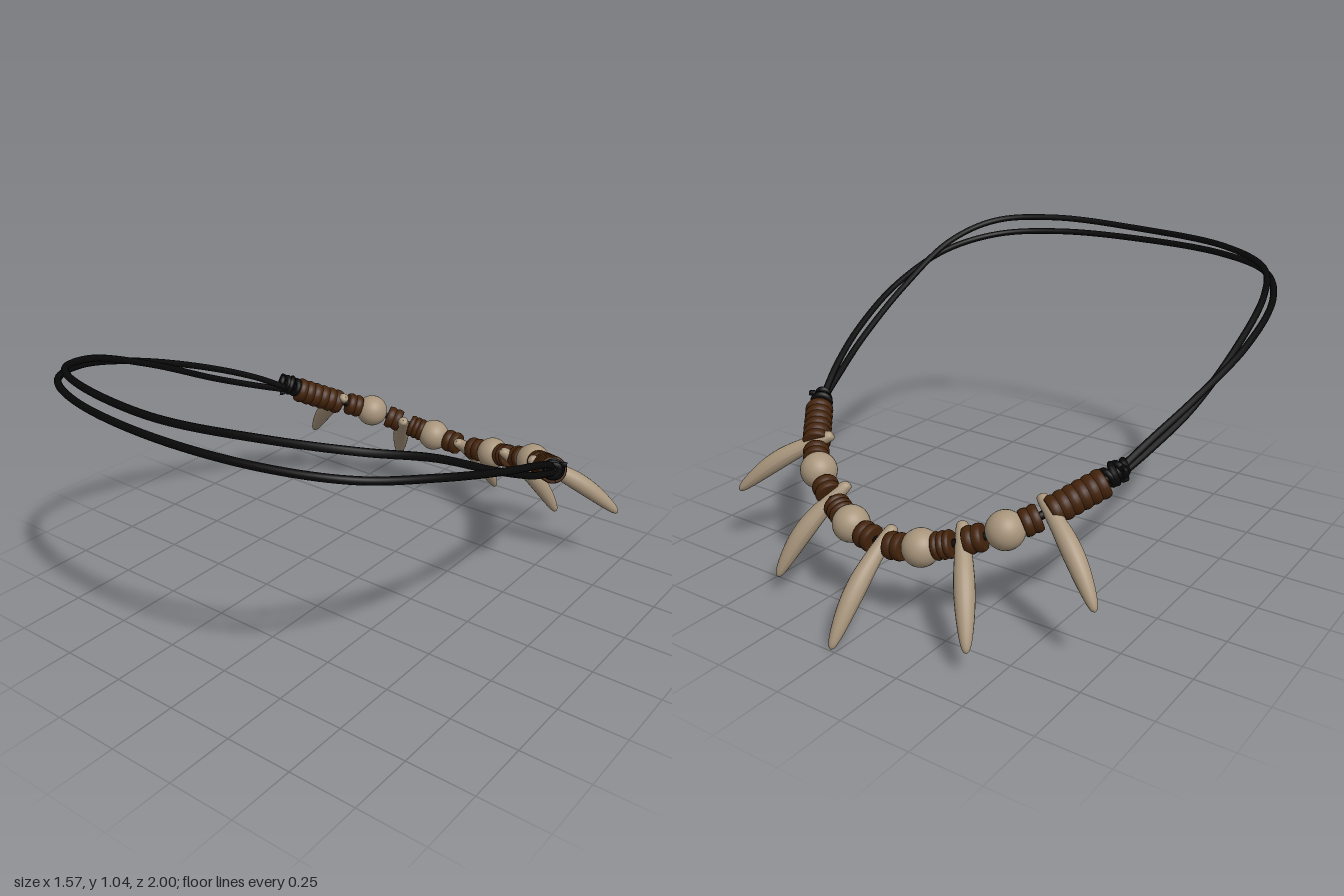
import * as THREE from 'three';

const V = (x, y, z) => new THREE.Vector3(x, y, z);

export function createModel() {
  const group = new THREE.Group();
  const mat = (name, color) => {
    const m = new THREE.MeshStandardMaterial({ color });
    m.name = name;
    return m;
  };
  const bone = mat('bone', 0xa8957c);
  const wood = mat('dark wood', 0x43230b);
  const black = mat('black cord', 0x080808);

  const add = (name, geometry, material) => {
    const mesh = new THREE.Mesh(geometry, material);
    mesh.name = name;
    group.add(mesh);
    return mesh;
  };

  // Curve that carries the beads
  const string = new THREE.CatmullRomCurve3([
    V(-0.645, 0.555, -0.33), V(-0.56, 0.48, -0.445), V(-0.4, 0.39, -0.625), V(-0.15, 0.303, -0.735),
    V(0, 0.285, -0.752), V(0.15, 0.303, -0.731), V(0.4, 0.39, -0.61), V(0.56, 0.472, -0.435),
    V(0.635, 0.53, -0.325),
  ]);
  add('beadString', new THREE.TubeGeometry(string, 60, 0.014, 8), black);

  // Curve parameter at a given x
  const paramAt = (x) => {
    let a = 0, b = 1;
    for (let i = 0; i < 30; i++) {
      const m = (a + b) / 2;
      if (string.getPoint(m).x < x) a = m; else b = m;
    }
    return a;
  };
  const threadOn = (mesh, x) => {
    const t = paramAt(x);
    mesh.position.copy(string.getPoint(t));
    mesh.quaternion.setFromUnitVectors(V(0, 1, 0), string.getTangent(t));
    return mesh;
  };

  // Turned bead with rounded ridges
  const ridgedBead = (length, radius, ridges) => {
    const pts = [new THREE.Vector2(0.001, -length / 2)];
    for (let i = 0; i < ridges; i++) {
      for (let j = 0; j <= 6; j++) {
        const r = radius * (0.9 + 0.1 * Math.sin((j / 6) * Math.PI));
        pts.push(new THREE.Vector2(r, -length / 2 + ((i + j / 6) * length) / ridges));
      }
    }
    pts.push(new THREE.Vector2(0.001, length / 2));
    return new THREE.LatheGeometry(pts, 24);
  };

  // Beads, mirrored on both sides
  for (const s of [-1, 1]) {
    for (const [x, r] of [[0.148, 0.064], [0.398, 0.065]]) {
      threadOn(add('roundBead', new THREE.SphereGeometry(r, 28, 20), bone), s * x);
    }
    for (const [x, len, n] of [[0.06, 0.064, 2], [0.222, 0.064, 3], [0.315, 0.064, 2], [0.457, 0.06, 2]]) {
      threadOn(add('ridgedBead', ridgedBead(len, 0.047, n), wood), s * x);
    }
    threadOn(add('longBead', ridgedBead(0.2, 0.051, 6), wood), s * 0.553);
  }

  // Curved tooth from its blunt root to its tip
  const tooth = (root, tip, bend) => {
    const axis = tip.clone().sub(root);
    const length = axis.length();
    const profile = [[0.001, 0], [0.015, 0.012], [0.021, 0.05], [0.025, 0.15], [0.03, 0.32], [0.034, 0.48],
      [0.033, 0.64], [0.027, 0.8], [0.019, 0.92], [0.011, 0.98], [0.001, 1]];
    const curve = new THREE.SplineCurve(profile.map(([r, t]) => new THREE.Vector2(r, t * length)));
    const geo = new THREE.LatheGeometry(curve.getPoints(30), 20);
    const p = geo.attributes.position;
    for (let i = 0; i < p.count; i++) {
      const t = p.getY(i) / length;
      p.setX(i, p.getX(i) + bend * Math.sin(Math.PI * t));
    }
    geo.computeVertexNormals();
    const yAxis = axis.normalize();
    const zAxis = V(0, 1, 0).cross(yAxis).normalize();
    const xAxis = yAxis.clone().cross(zAxis);
    geo.applyMatrix4(new THREE.Matrix4().makeBasis(xAxis, yAxis, zAxis).setPosition(root));
    add('tooth', geo, bone);
  };
  tooth(V(-0.008, 0.325, -0.695), V(0.022, 0.004, -0.995), 0.026);
  tooth(V(-0.238, 0.38, -0.635), V(-0.423, 0.085, -0.875), 0.024);
  tooth(V(0.247, 0.385, -0.625), V(0.408, 0.07, -0.835), 0.024);
  tooth(V(-0.448, 0.478, -0.505), V(-0.728, 0.21, -0.632), 0.026);
  tooth(V(0.45, 0.465, -0.475), V(0.748, 0.245, -0.67), 0.022);

  // Two neck cords running round the front
  const cord = (name, points) =>
    add(name, new THREE.TubeGeometry(new THREE.CatmullRomCurve3(points), 140, 0.0125, 10), black);
  const half = [[0.625, 0.535, -0.33], [0.672, 0.61, -0.2], [0.728, 0.7, 0], [0.771, 0.81, 0.3],
    [0.738, 0.9, 0.6], [0.615, 0.943, 0.82], [0.38, 0.96, 0.94]];
  cord('lowerCord', [
    ...half.map(([x, y, z]) => V(x, y, z)), V(0, 0.963, 0.985),
    ...half.slice().reverse().map(([x, y, z]) => V(-x, y, z)),
  ]);
  cord('upperCord', [
    V(0.63, 0.515, -0.33), V(0.665, 0.572, -0.2), V(0.712, 0.66, 0), V(0.735, 0.805, 0.3),
    V(0.705, 0.945, 0.58), V(0.605, 1.01, 0.78), V(0.38, 1.027, 0.9), V(0, 1.012, 0.96),
    V(-0.4, 1, 0.905), V(-0.62, 0.97, 0.78), V(-0.712, 0.92, 0.58), V(-0.738, 0.805, 0.3),
    V(-0.715, 0.66, 0), V(-0.67, 0.575, -0.2), V(-0.635, 0.525, -0.33),
  ]);

  // Knots of wound cord with short loose ends
  for (const s of [-1, 1]) {
    const knot = new THREE.Group();
    knot.name = 'knot';
    const part = (geo) => {
      const m = new THREE.Mesh(geo, black);
      m.name = 'knotCord';
      knot.add(m);
      return m;
    };
    [-0.03, -0.008, 0.014, 0.034].forEach((y, i) => {
      const ring = part(new THREE.TorusGeometry([0.027, 0.03, 0.025, 0.018][i], 0.0125, 8, 20));
      ring.position.y = s * y;
      ring.rotation.set(Math.PI / 2 + (i % 2 ? 0.25 : -0.2), i % 2 ? -0.15 : 0.2, 0);
    });
    part(new THREE.SphereGeometry(0.028, 14, 10));
    group.add(knot);
    threadOn(knot, s < 0 ? -0.63 : 0.622);
    const c = knot.position;
    const end = (dx, dy, dz) => add('looseEnd', new THREE.TubeGeometry(new THREE.CatmullRomCurve3([
      c.clone(), V(c.x + s * dx * 0.6, c.y + dy, c.z + dz * 0.5), V(c.x + s * dx, c.y + dy, c.z + dz),
    ]), 10, 0.01, 8), black);
    end(0.045, 0.025, -0.015);
    end(0.02, -0.03, 0.04);
  }

  return group;
}
